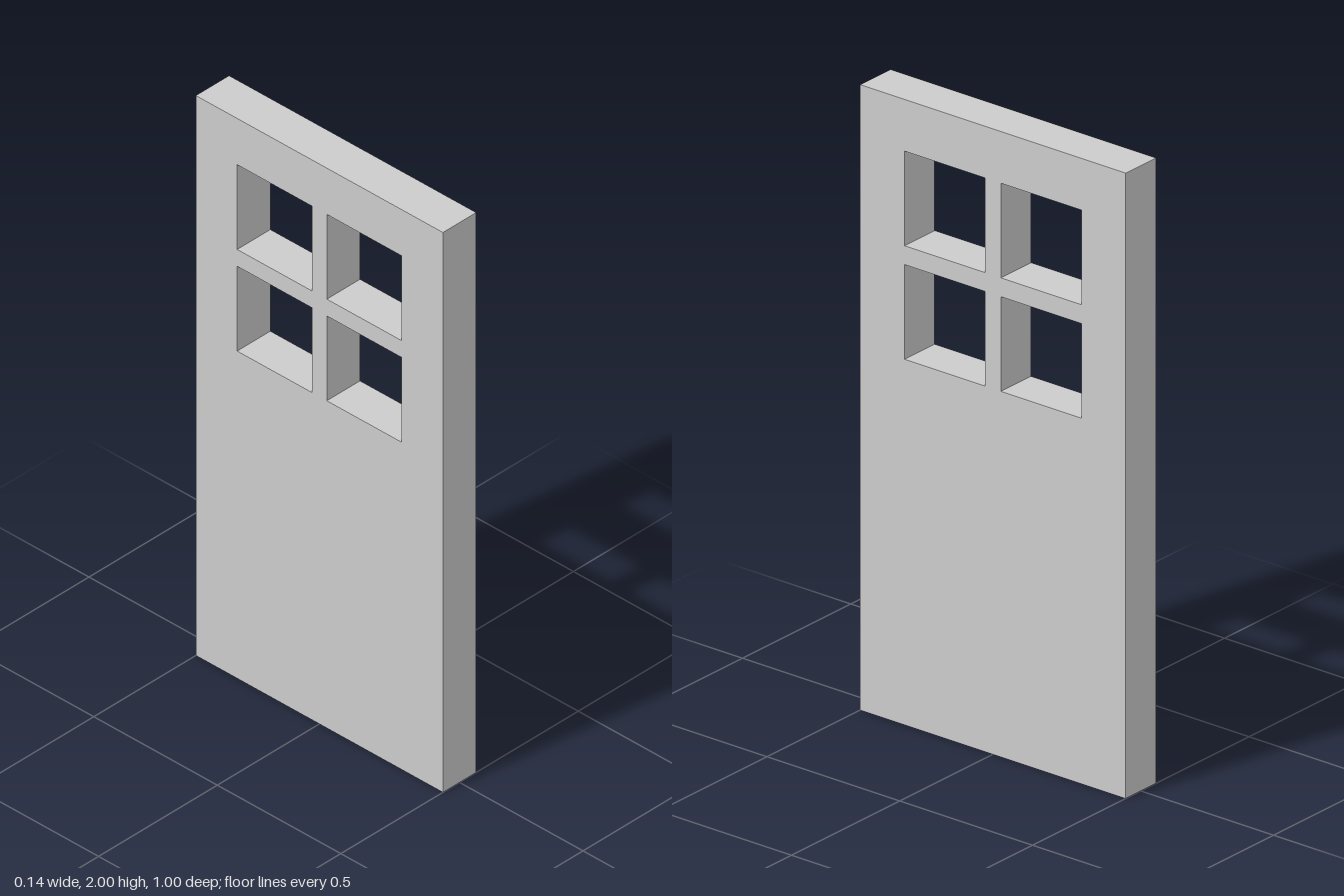
import * as THREE from 'three';

const WIDTH = 1, HEIGHT = 2, THICKNESS = 0.14;
const PANE = 0.303, BAR = 0.06, WINDOW_Y = 1.502; // opening size, glazing bar, window centre

// Closed rectangle outline centred on (cx, cy)
function rectangle(PathType, cx, cy, w, h) {
  return new PathType([
    new THREE.Vector2(cx - w / 2, cy - h / 2),
    new THREE.Vector2(cx + w / 2, cy - h / 2),
    new THREE.Vector2(cx + w / 2, cy + h / 2),
    new THREE.Vector2(cx - w / 2, cy + h / 2),
  ]);
}

export function createModel() {
  const group = new THREE.Group();
  group.name = 'door';

  // Door slab with a two by two grid of window openings
  const slab = rectangle(THREE.Shape, 0, HEIGHT / 2, WIDTH, HEIGHT);
  const offset = (PANE + BAR) / 2;
  for (const sx of [-1, 1]) {
    for (const sy of [-1, 1]) {
      slab.holes.push(rectangle(THREE.Path, sx * offset, WINDOW_Y + sy * offset, PANE, PANE));
    }
  }

  const geometry = new THREE.ExtrudeGeometry(slab, { depth: THICKNESS, bevelEnabled: false });
  geometry.translate(0, 0, -THICKNESS / 2);
  geometry.rotateY(Math.PI / 2); // broad faces look along x

  const material = new THREE.MeshStandardMaterial({ color: 0xcccccc, flatShading: true });
  const panel = new THREE.Mesh(geometry, material);
  panel.name = 'doorPanel';
  group.add(panel);
  return group;
}
